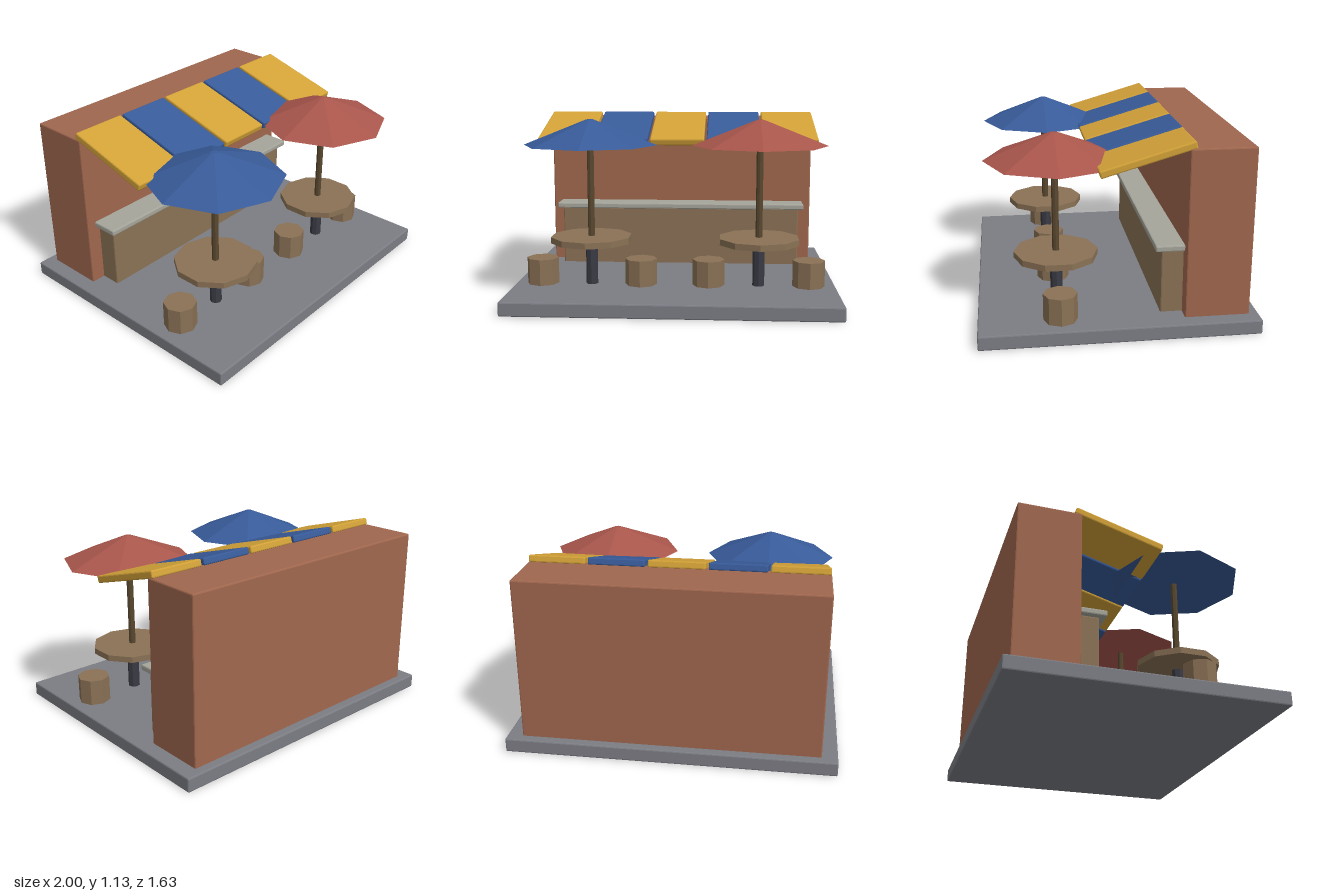
import * as THREE from 'three';
import { RoundedBoxGeometry } from 'three/addons/geometries/RoundedBoxGeometry.js';

const paint = (name, color) => {
  const m = new THREE.MeshStandardMaterial({ color });
  m.name = name;
  return m;
};

export function createModel() {
  const model = new THREE.Group();
  model.name = 'streetCafe';

  const stone = paint('paving grey', 0x7c7d84);
  const brick = paint('brick brown', 0xa0674e);
  const wood = paint('wood', 0x8a7155);
  const slab = paint('pale stone', 0xa5a59b);
  const yellow = paint('awning yellow', 0xd3a238);
  const blue = paint('canvas blue', 0x385b99);
  const red = paint('canvas red', 0xa9564c);
  const darkWood = paint('dark wood', 0x59482f);
  const iron = paint('iron', 0x3a3b44);

  const FLOOR = 0.087;

  const add = (parent, name, geometry, material, x, y, z) => {
    const mesh = new THREE.Mesh(geometry, material);
    mesh.name = name;
    mesh.position.set(x, y, z);
    parent.add(mesh);
    return mesh;
  };

  // Box with small flat chamfers
  const chamferBox = (w, h, d, bevel = 0.008) => {
    const g = new RoundedBoxGeometry(w, h, d, 1, bevel);
    g.computeVertexNormals();
    return g;
  };

  // Chamfered box given by its limits
  const block = (name, material, halfX, y0, y1, z0, z1) =>
    add(model, name, chamferBox(halfX * 2, y1 - y0, z1 - z0), material, 0, (y0 + y1) / 2, (z0 + z1) / 2);

  // Faceted upright cylinder from y0 to y1
  const prism = (parent, name, material, rTop, rBottom, sides, x, y0, y1) => {
    const g = new THREE.CylinderGeometry(rTop, rBottom, y1 - y0, sides).toNonIndexed();
    g.computeVertexNormals();
    return add(parent, name, g, material, x, (y0 + y1) / 2, 0);
  };

  // Paving, building and serving counter
  block('base', stone, 1, 0, FLOOR, -0.815, 0.815);
  block('building', brick, 0.905, FLOOR - 0.01, 1.092, -0.759, -0.377);
  block('counter', wood, 0.815, FLOOR - 0.01, 0.477, -0.4, -0.247);
  block('counterTop', slab, 0.848, 0.475, 0.512, -0.4, -0.208);

  // Sloping awning of alternating panels
  for (let i = 0; i < 5; i++) {
    const panel = add(model, 'awningPanel', chamferBox(0.348, 0.044, 0.556),
      i % 2 ? blue : yellow, (i - 2) * 0.364, 1.037, -0.148);
    panel.rotation.x = 0.283;
  }

  // Two tables, each with a parasol and a pair of stools
  for (const [side, canvas] of [[-1, blue], [1, red]]) {
    const set = new THREE.Group();
    set.name = side < 0 ? 'rightTableSet' : 'leftTableSet';
    set.position.set(side * 0.522, 0, 0.34);
    model.add(set);

    prism(set, 'tablePost', iron, 0.037, 0.037, 8, 0, FLOOR, 0.356);
    prism(set, 'tableTop', wood, 0.254, 0.254, 10, 0, 0.355, 0.393);
    prism(set, 'parasolPole', darkWood, 0.021, 0.021, 8, 0, 0.39, 1.09);
    prism(set, 'parasolCanopy', canvas, 0.022, 0.415, 8, 0, 0.96, 1.117);
    for (const s of [-1, 1]) prism(set, 'stool', wood, 0.1, 0.1, 8, s * 0.311, FLOOR, 0.25);
  }

  return model;
}
